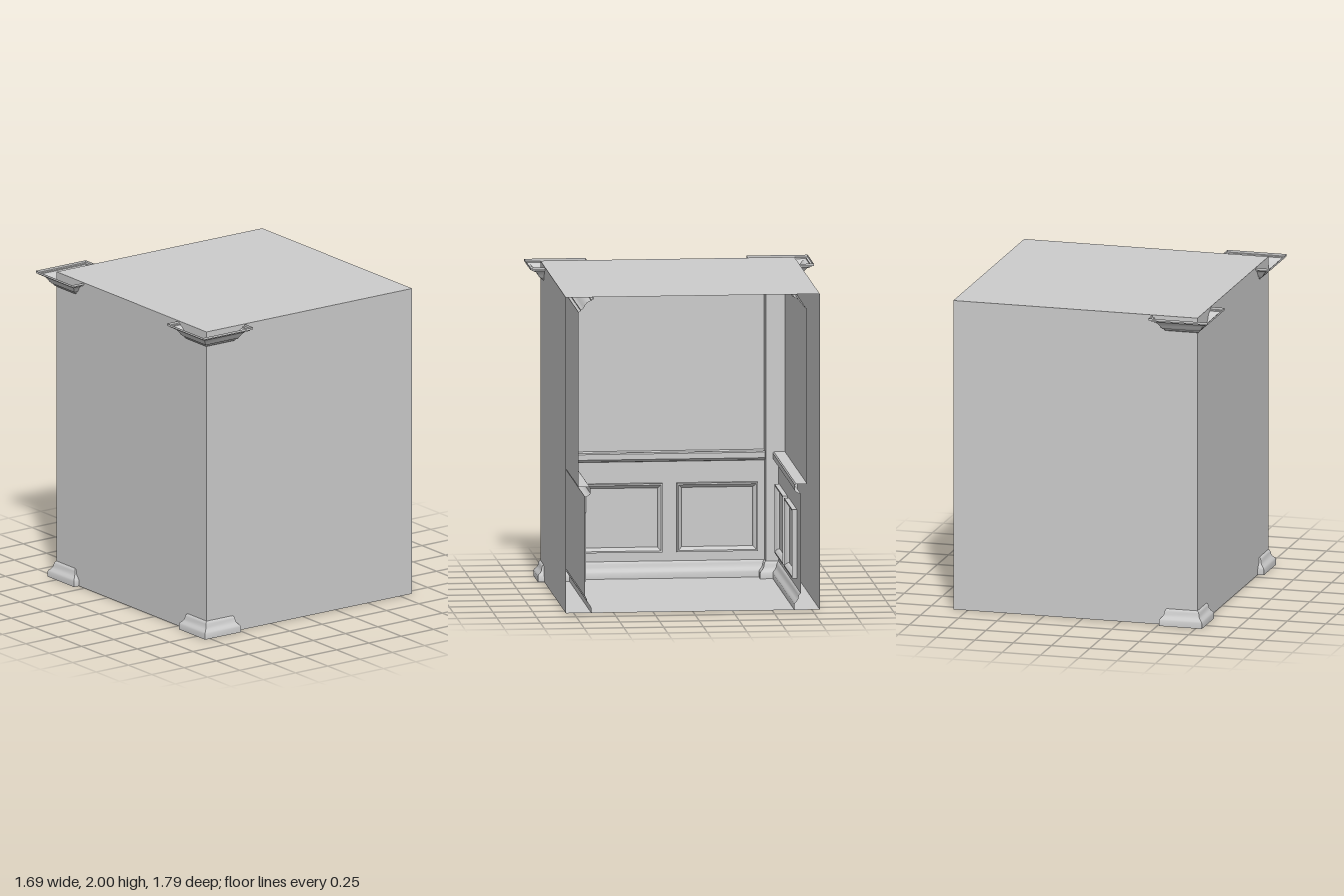
import * as THREE from 'three';
import { toCreasedNormals } from 'three/addons/utils/BufferGeometryUtils.js';

const material = new THREE.MeshStandardMaterial({ color: 0xcccccc, side: THREE.DoubleSide });
const X0 = -0.75, X1 = 0.843, Z = 0.8, H = 2;   // room shell
const COL = 0.2;                                // column width

// Moulding profiles as [projection, height], bottom to top
const basePlinth = [[0.04, 0], [0.04, 0.035], [0.035, 0.045], [0.023, 0.057], [0.015, 0.07], [0.012, 0.088], [0.007, 0.1], [0, 0.105]];
const crown = [[0, 1.905], [0.008, 1.908], [0.014, 1.914], [0.014, 1.92], [0.024, 1.924], [0.033, 1.935],
  [0.042, 1.952], [0.055, 1.966], [0.072, 1.975], [0.08, 1.977], [0.08, 1.984], [0.093, 1.986], [0.093, 2]];
const WAINSCOT = 0.04;
const wallProfile = [
  ...basePlinth.map(([o, y]) => [o + WAINSCOT, y]),
  [WAINSCOT, 0.735], [0.058, 0.74], [0.07, 0.748], [0.076, 0.755], [0.076, 0.79], [0.07, 0.798], [0, 0.798],
  ...crown,
];
const framePoints = [[0, 0], [0, 0.03], [-0.01, 0.03], [-0.015, 0.024], [-0.024, 0.018], [-0.03, 0.008], [-0.03, 0]];

function mesh(name, geometry) {
  const m = new THREE.Mesh(geometry, material);
  m.name = name;
  return m;
}

// Surface between matching rows of points; rows run left to right
function loft(rows) {
  const p = [];
  for (let r = 0; r + 1 < rows.length; r++) {
    const a = rows[r], b = rows[r + 1];
    for (let i = 0; i + 1 < a.length; i++) p.push(...a[i], ...b[i], ...b[i + 1], ...a[i], ...b[i + 1], ...a[i + 1]);
  }
  const g = new THREE.BufferGeometry();
  g.setAttribute('position', new THREE.Float32BufferAttribute(p, 3));
  return toCreasedNormals(g, 0.6);
}

// Mitred moulding around a rectangle
function ring(halfW, halfD, profile) {
  const corners = [[-1, 1], [1, 1], [1, -1], [-1, -1], [-1, 1]];
  return loft(corners.map(([sx, sz]) => profile.map(([o, y]) => [sx * (halfW + o), y, sz * (halfD + o)])));
}

// Panelled wall facing +z, from x = a to b, with two framed panels around mid
function wall(name, a, b, mid) {
  const g = new THREE.Group();
  g.name = name;
  g.add(mesh('wallMoulding', loft([a, b].map(x => wallProfile.map(([o, y]) => [x, y, o])))));
  for (const s of [-1, 1]) {
    const frame = mesh('panelFrame', ring(0.255, 0.218, framePoints));
    frame.rotation.x = Math.PI / 2;
    frame.position.set(mid + s * 0.3, 0.382, WAINSCOT);
    g.add(frame);
  }
  return g;
}

// Square corner column with plinth and hollow crown
function column(x, z) {
  const g = new THREE.Group();
  g.name = 'cornerColumn';
  const shaft = mesh('columnShaft', new THREE.BoxGeometry(COL, 1.94, COL));
  shaft.position.y = 0.97;
  g.add(shaft, mesh('columnBase', ring(COL / 2, COL / 2, basePlinth)), mesh('columnCrown', ring(COL / 2, COL / 2, crown)));
  g.position.set(x, 0, z);
  return g;
}

export function createModel() {
  const model = new THREE.Group();
  model.name = 'panelledRoom';

  // Outer shell, open on the +x side
  const w = X1 - X0, cx = (X0 + X1) / 2;
  const sheet = (name, sx, sy, pos, rx, ry) => {
    const m = mesh(name, new THREE.PlaneGeometry(sx, sy));
    m.position.set(...pos);
    m.rotation.set(rx, ry, 0);
    model.add(m);
  };
  sheet('floor', w, 2 * Z, [cx, 0, 0], Math.PI / 2, 0);
  sheet('ceiling', w, 2 * Z, [cx, H, 0], -Math.PI / 2, 0);
  sheet('frontOuterWall', w, H, [cx, H / 2, Z], 0, 0);
  sheet('backOuterWall', w, H, [cx, H / 2, -Z], 0, Math.PI);
  sheet('endOuterWall', 2 * Z, H, [X0, H / 2, 0], 0, -Math.PI / 2);

  // Corner columns
  const inner = X0 + COL;
  for (const s of [-1, 1]) model.add(column(X0 + COL / 2, s * (Z - COL / 2)));

  // Inner walls, set in front of the shell
  const gap = 0.08;
  const back = wall('backInnerWall', inner, X1, 0.05);
  back.position.z = -Z + gap;
  const front = wall('frontInnerWall', -X1, -inner, -0.05);
  front.rotation.y = Math.PI;
  front.position.z = Z - gap;
  const end = wall('endInnerWall', -Z + COL, Z - COL, 0);
  end.rotation.y = Math.PI / 2;
  end.position.x = X0 + gap;
  model.add(back, front, end);
  return model;
}
